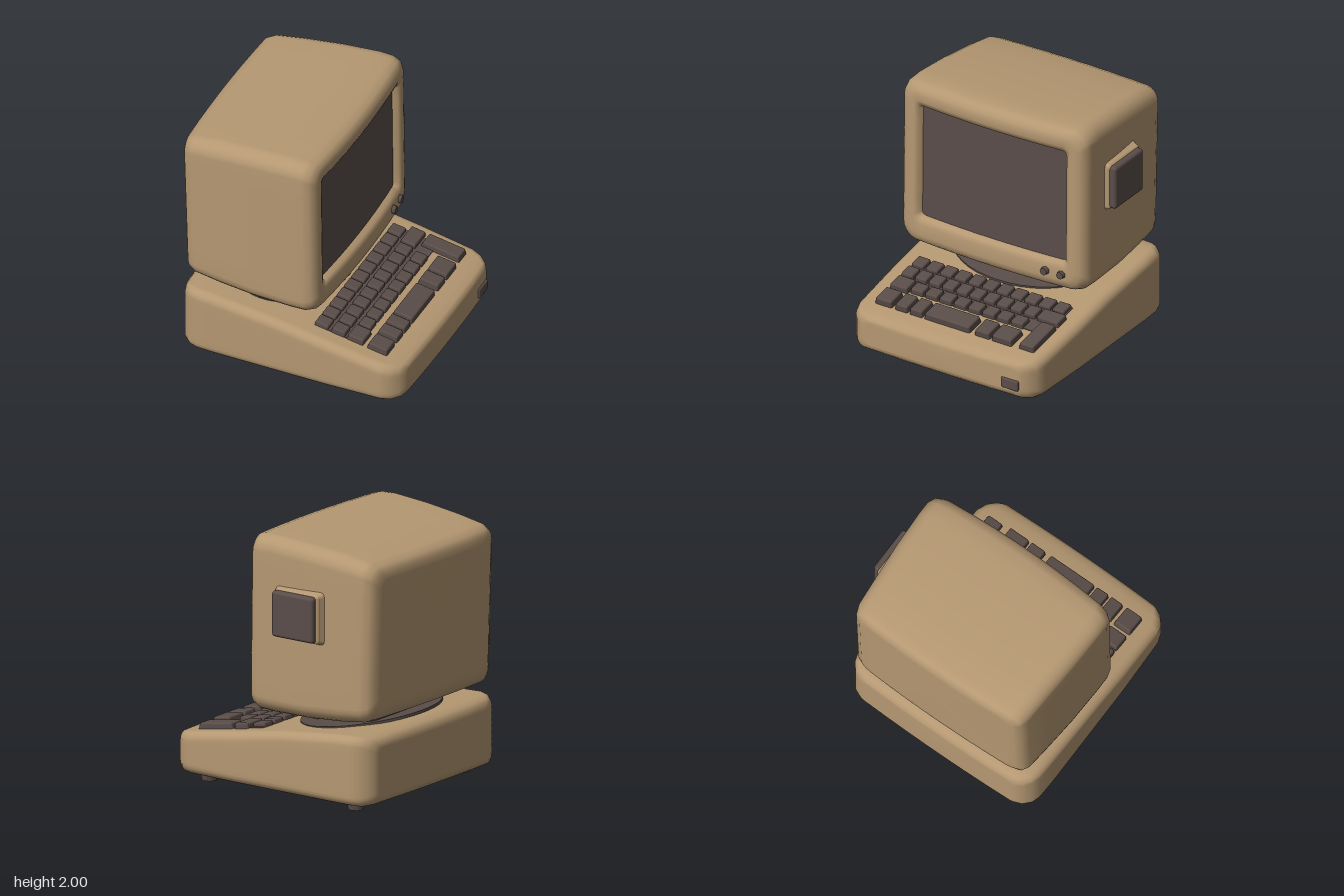
import * as THREE from 'three';
import { RoundedBoxGeometry } from 'three/addons/geometries/RoundedBoxGeometry.js';

const ZC = 0.03; // shared centre line of the housings

// Rounded rectangle outline as [z, y] pairs, with points along the straight sides
function outline(y0, y1, hz, r) {
  const pts = [], arc = 5, side = 7;
  const cy = (y0 + y1) / 2, hy = (y1 - y0) / 2;
  const corners = [[1, 1], [-1, 1], [-1, -1], [1, -1]];
  corners.forEach(([sz, sy], k) => {
    for (let i = 0; i <= arc; i++) {
      const a = (k + i / arc) * Math.PI / 2;
      pts.push([sz * (hz - r) + r * Math.cos(a), cy + sy * (hy - r) + r * Math.sin(a)]);
    }
    const [z, y] = pts[pts.length - 1];
    const [nz, ny] = corners[(k + 1) % 4];
    const a = (k + 1) * Math.PI / 2;
    const ez = nz * (hz - r) + r * Math.cos(a), ey = cy + ny * (hy - r) + r * Math.sin(a);
    for (let i = 1; i < side; i++) pts.push([z + (ez - z) * i / side, y + (ey - y) * i / side]);
  });
  return pts;
}

// Skin over stations [x, y0, y1, halfZ, radius]; bend(x, y, z) returns the final x
function loft(stations, bend, capFront) {
  const pos = [], idx = [];
  const rings = stations.map(([x, y0, y1, hz, r]) => outline(y0, y1, hz, r).map(([z, y]) => [x, y, z]));
  const n = rings[0].length;
  const add = ([x, y, z]) => pos.push(bend(x, y, z), y, z + ZC);
  rings.forEach(ring => ring.forEach(add));
  for (let i = 0; i < rings.length - 1; i++) {
    for (let j = 0; j < n; j++) {
      const a = i * n + j, b = i * n + (j + 1) % n, c = a + n, d = b + n;
      idx.push(a, c, b, b, c, d);
    }
  }
  const cap = (s, front) => {
    const [x, y0, y1] = stations[s], c = pos.length / 3;
    add([x, (y0 + y1) / 2, 0]);
    for (let j = 0; j < n; j++) {
      const a = s * n + j, b = s * n + (j + 1) % n;
      front ? idx.push(c, b, a) : idx.push(c, a, b);
    }
  };
  cap(0, false);
  if (capFront) cap(stations.length - 1, true);
  const g = new THREE.BufferGeometry();
  g.setAttribute('position', new THREE.Float32BufferAttribute(pos, 3));
  g.setIndex(idx);
  g.computeVertexNormals();
  return g;
}

// Bowed front and back of the monitor, leaning slightly backwards
function bendMonitor(x, y, z) {
  const bow = 1 - (z / 0.82) ** 2;
  const front = THREE.MathUtils.smoothstep(x, -0.1, 0.18);
  const back = THREE.MathUtils.smoothstep(-x, 0.5, 0.88);
  return x + bow * (0.045 * front - 0.03 * back) - (y - 1.3) * (0.012 * front + 0.03 * back);
}
const bendBase = (x, y, z) => x + Math.sign(x) * 0.02 * THREE.MathUtils.smoothstep(Math.abs(x), 0.7, 0.9) * (0.5 - (z / 0.84) ** 2);

export function createModel() {
  const model = new THREE.Group();
  const beige = new THREE.MeshStandardMaterial({ color: 0xb59872 });
  beige.name = 'beige plastic';
  const dark = new THREE.MeshStandardMaterial({ color: 0x5a4d49 });
  dark.name = 'dark brown plastic';

  const add = (name, geo, mat, x = 0, y = 0, z = 0, parent = model) => {
    const m = new THREE.Mesh(geo, mat);
    m.name = name;
    m.position.set(x, y, z);
    parent.add(m);
    return m;
  };

  // Wedge-shaped base
  add('base', loft([
    [-0.905, 0.13, 0.50, 0.67, 0.05], [-0.9, 0.10, 0.54, 0.71, 0.06],
    [-0.875, 0.075, 0.575, 0.765, 0.07], [-0.82, 0.06, 0.592, 0.81, 0.07],
    [-0.75, 0.06, 0.596, 0.832, 0.07], [-0.6, 0.06, 0.588, 0.838, 0.07],
    [-0.1, 0.06, 0.53, 0.838, 0.07], [0.3, 0.06, 0.4615, 0.838, 0.07],
    [0.74, 0.06, 0.3865, 0.826, 0.07], [0.82, 0.06, 0.371, 0.80, 0.07],
    [0.875, 0.075, 0.355, 0.75, 0.06], [0.9, 0.10, 0.335, 0.705, 0.05],
    [0.905, 0.13, 0.305, 0.67, 0.05],
  ], bendBase, true), beige);

  // Monitor shell, turning in at the front to form the bezel
  add('monitorShell', loft([
    [-0.89, 0.82, 1.78, 0.64, 0.08], [-0.885, 0.76, 1.84, 0.70, 0.09],
    [-0.86, 0.71, 1.885, 0.75, 0.10], [-0.8, 0.685, 1.915, 0.775, 0.11],
    [-0.6, 0.66, 1.95, 0.79, 0.12], [-0.3, 0.645, 1.98, 0.81, 0.12],
    [0.0, 0.645, 2.0, 0.82, 0.12], [0.11, 0.65, 1.996, 0.82, 0.12],
    [0.165, 0.67, 1.98, 0.805, 0.12], [0.192, 0.70, 1.945, 0.77, 0.11],
    [0.2, 0.74, 1.91, 0.73, 0.09], [0.2, 0.83, 1.86, 0.69, 0.06],
    [0.185, 0.875, 1.82, 0.655, 0.04], [0.13, 0.89, 1.80, 0.635, 0.025],
  ], bendMonitor, false), beige);

  // Curved screen inside the bezel
  const screen = new THREE.PlaneGeometry(1.31, 0.95, 10, 4);
  screen.rotateY(Math.PI / 2);
  const sp = screen.attributes.position;
  for (let i = 0; i < sp.count; i++) sp.setX(i, bendMonitor(0.145, sp.getY(i) + 1.345, sp.getZ(i)));
  screen.computeVertexNormals();
  add('screen', screen, dark, 0, 1.345, ZC);

  // Control knobs below the screen
  for (const [x, z] of [[0.235, -0.46], [0.22, -0.595]]) {
    const knob = add('knob', new THREE.CylinderGeometry(0.03, 0.038, 0.06, 7), dark, x, 0.79, z);
    knob.rotation.z = -Math.PI / 2;
  }

  // Side housing with its dark cover
  const flange = new RoundedBoxGeometry(0.41, 0.38, 0.12, 3, 0.03);
  const fp = flange.attributes.position;
  for (let i = 0; i < fp.count; i++) {
    const s = fp.getZ(i) > 0 ? 1.12 : 1;
    fp.setXY(i, fp.getX(i) * s, fp.getY(i) * s);
  }
  flange.computeVertexNormals();
  add('sideHousing', flange, beige, -0.275, 1.45, -0.77);
  add('sideCover', new RoundedBoxGeometry(0.38, 0.35, 0.1, 3, 0.025), dark, -0.27, 1.45, -0.823);

  // Swivel neck and the disc it turns on
  const neck = new RoundedBoxGeometry(0.61, 0.22, 0.85, 3, 0.06);
  const np = neck.attributes.position;
  for (let i = 0; i < np.count; i++) {
    if (np.getY(i) < 0) np.setXYZ(i, np.getX(i) * 0.96, np.getY(i), np.getZ(i) * 0.96);
  }
  add('neck', neck, dark, -0.345, 0.61, 0.035);
  const disc = add('swivelDisc', new THREE.CylinderGeometry(0.635, 0.635, 0.02, 40), dark, -0.33, 0.555, 0.035);
  disc.scale.x = 0.72;
  disc.rotation.z = -0.125;

  // Keyboard lying on the sloped top of the base
  const keyboard = new THREE.Group();
  keyboard.name = 'keyboard';
  keyboard.position.set(0, 0.5128, 0);
  keyboard.rotation.z = -Math.atan(0.1705);
  model.add(keyboard);
  const key = (x0, x1, z0, z1, top) => {
    const w = (x1 - x0) * 1.0145 - 0.006, d = z1 - z0 - 0.006, h = 0.08;
    const g = new RoundedBoxGeometry(w, h, d, 2, 0.014);
    const p = g.attributes.position;
    for (let i = 0; i < p.count; i++) { // narrower, slightly dished top
      if (p.getY(i) > 0) p.setXYZ(i, p.getX(i) * 0.9, p.getY(i), p.getZ(i) * (1 - 0.016 / d));
    }
    add('key', g, dark, (x0 + x1) / 2 * 1.0145, top - h / 2, (z0 + z1) / 2, keyboard);
  };
  const row = (x0, x1, z0, z1, count, top) => {
    const s = (z1 - z0) / count;
    for (let i = 0; i < count; i++) key(x0, x1, z0 + i * s, z0 + (i + 1) * s, top);
  };
  add('keyWell', new THREE.BoxGeometry(0.37, 0.008, 1.36), dark, 0.34, 0.003, 0.03, keyboard);
  row(0.14, 0.265, -0.65, 0.72, 11, 0.036);
  key(0.27, 0.405, -0.69, -0.48, 0.042);
  row(0.275, 0.4, -0.48, 0.72, 10, 0.042);
  row(0.415, 0.53, -0.46, 0.55, 8, 0.042);
  key(0.405, 0.55, 0.55, 0.72, 0.045);
  key(0.405, 0.74, -0.69, -0.545, 0.045);
  for (const [z0, z1] of [[-0.5, -0.31], [-0.305, -0.16], [-0.13, 0.285], [0.29, 0.415], [0.42, 0.545], [0.56, 0.72]]) {
    key(0.57, 0.745, z0, z1, 0.05);
  }

  // Switch on the front edge
  add('switch', new RoundedBoxGeometry(0.08, 0.085, 0.15, 2, 0.012), dark, 0.878, 0.18, -0.59);

  // Four tapered feet
  for (const x of [-0.68, 0.67]) {
    for (const z of [0.675, -0.625]) {
      add('foot', new THREE.CylinderGeometry(0.072, 0.06, 0.08, 8), dark, x, 0.04, z);
    }
  }
  return model;
}
